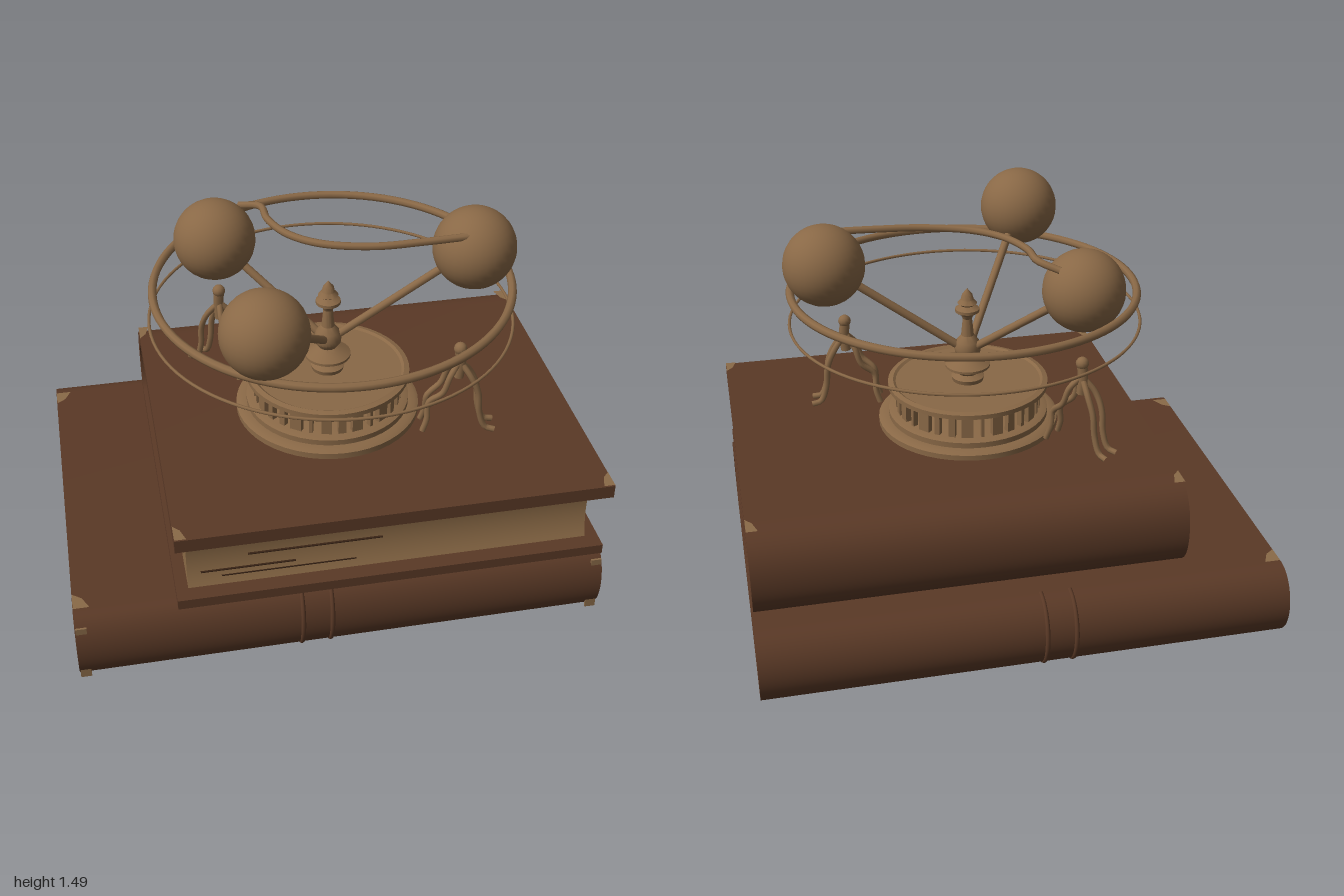
import * as THREE from 'three';
import { toCreasedNormals } from 'three/addons/utils/BufferGeometryUtils.js';

const mat = (name, color) => Object.assign(new THREE.MeshStandardMaterial({ color }), { name });
const V = (x, y, z) => new THREE.Vector3(x, y, z);

export function createModel() {
  const model = new THREE.Group();
  const leather = mat('leather', 0x5a3926);
  const paper = mat('paper', 0x8c6b47);
  const brass = mat('brass', 0x896846);
  const worn = mat('worn leather', 0x8a6a48);
  worn.side = THREE.DoubleSide;
  const dark = mat('dark brown', 0x382315);

  const add = (parent, name, geo, material, x = 0, y = 0, z = 0) => {
    const m = new THREE.Mesh(geo, material);
    m.name = name;
    m.position.set(x, y, z);
    parent.add(m);
    return m;
  };
  const group = (name) => {
    const g = new THREE.Group();
    g.name = name;
    model.add(g);
    return g;
  };
  // Extrude a side profile (drawn in -z, y) from x0 to x1
  const slab = (shape, x0, x1) => {
    const g = new THREE.ExtrudeGeometry(shape, { depth: x1 - x0, bevelEnabled: false, curveSegments: 14 });
    g.rotateY(Math.PI / 2);
    g.translate(x0, 0, 0);
    return toCreasedNormals(g, 0.6);
  };
  const tube = (pts, r, closed = false, seg = 32) =>
    new THREE.TubeGeometry(new THREE.CatmullRomCurve3(pts, closed), seg, r, 8, closed);
  const rod = (parent, name, a, b, r) => {
    const m = add(parent, name, new THREE.CylinderGeometry(r, r, a.distanceTo(b), 10), brass);
    m.position.copy(a).lerp(b, 0.5);
    m.quaternion.setFromUnitVectors(V(0, 1, 0), b.clone().sub(a).normalize());
  };
  // Closed profile with rounded ends; zf/zb front and back, rf/rb depth of the curve
  const pill = (Kind, zf, zb, y0, y1, rf, rb) => {
    const s = new Kind(), cy = (y0 + y1) / 2, h = (y1 - y0) / 2;
    s.moveTo(-zf + rf, y0);
    s.lineTo(-zb - rb, y0);
    s.absellipse(-zb - rb, cy, rb, h, -Math.PI / 2, Math.PI / 2, false);
    s.lineTo(-zf + rf, y1);
    s.absellipse(-zf + rf, cy, rf, h, Math.PI / 2, Math.PI * 1.5, false);
    return s;
  };
  // Worn triangular corner on top of a cover
  const corner = (parent, x, y, z, sx, sz) => {
    const s = new THREE.Shape([[0, 0], [0.06, 0], [0.035, 0.05], [0, 0.075]].map(
      ([a, b]) => new THREE.Vector2(a * sx, b * sz)));
    const g = new THREE.ShapeGeometry(s);
    g.rotateX(Math.PI / 2);
    add(parent, 'wornCorner', g, worn, x, y, z);
  };

  // Lower book
  const lower = group('lowerBook');
  const cover = pill(THREE.Shape, 0.785, -0.785, 0, 0.29, 0.09, 0.12);
  cover.holes.push(pill(THREE.Path, 0.735, -0.74, 0.04, 0.255, 0.06, 0.08));
  add(lower, 'lowerCover', slab(cover, -0.995, 0.99), leather);
  add(lower, 'lowerPages', slab(pill(THREE.Shape, 0.737, -0.742, 0.038, 0.257, 0.06, 0.08), -0.955, 0.955), paper);
  for (const [z, depth, s] of [[0.695, 0.09, 1], [-0.665, 0.12, -1]])
    for (const x of [-0.165, -0.055]) {
      const pts = [];
      for (let i = 0; i <= 10; i++) {
        const a = -Math.PI / 2 + (i / 10) * Math.PI;
        pts.push(V(x, 0.145 + 0.142 * Math.sin(a), z + s * depth * Math.cos(a)));
      }
      add(lower, 'spineRidge', tube(pts, 0.009), leather);
    }
  corner(lower, -0.994, 0.292, 0.69, 1, -1);
  corner(lower, -0.994, 0.292, -0.66, 1, 1);
  for (const x of [-0.972, 0.967])
    for (const y of [0.045, 0.235]) add(lower, 'wornEdge', new THREE.BoxGeometry(0.04, 0.05, 0.008), worn, x, y, 0.762);

  // Upper book: C-shaped cover open at the front
  const upper = group('upperBook');
  const c = new THREE.Shape();
  c.moveTo(-0.76, 0.288);
  c.lineTo(0.53, 0.292);
  c.bezierCurveTo(0.62, 0.3, 0.66, 0.37, 0.66, 0.46);
  c.bezierCurveTo(0.66, 0.56, 0.61, 0.64, 0.5, 0.64);
  c.lineTo(-0.785, 0.635);
  c.lineTo(-0.785, 0.582);
  c.lineTo(0.5, 0.59);
  c.bezierCurveTo(0.57, 0.58, 0.605, 0.53, 0.605, 0.46);
  c.bezierCurveTo(0.605, 0.39, 0.58, 0.34, 0.53, 0.332);
  c.lineTo(-0.76, 0.328);
  add(upper, 'upperCover', slab(c, -0.62, 0.985), leather);
  const p = new THREE.Shape();
  p.moveTo(-0.7, 0.325);
  p.lineTo(0.53, 0.328);
  p.bezierCurveTo(0.58, 0.34, 0.608, 0.39, 0.608, 0.46);
  p.bezierCurveTo(0.608, 0.53, 0.57, 0.58, 0.5, 0.592);
  p.lineTo(-0.7, 0.586);
  p.quadraticCurveTo(-0.65, 0.45, -0.7, 0.325);
  add(upper, 'upperPages', slab(p, -0.575, 0.935), paper);
  corner(upper, -0.619, 0.641, -0.58, 0.7, 1.1);
  corner(upper, 0.984, 0.641, -0.58, -0.7, 1.1);
  corner(upper, -0.619, 0.639, 0.783, 0.7, -1);
  corner(upper, 0.984, 0.639, 0.783, -0.7, -1);

  // Gaps between pages
  for (const [x, y, w] of [[-0.3, 0.5, 0.4], [-0.1, 0.44, 0.5], [-0.35, 0.385, 0.35], [-0.2, 0.36, 0.5], [0.55, 0.51, 0.3]])
    add(upper, 'pageGap', new THREE.BoxGeometry(w, 0.004, 0.009), dark, x, y, 0.677 + Math.abs(y - 0.455) * 0.1);
  for (const [z, y, w] of [[0.45, 0.22, 0.4], [0.35, 0.19, 0.6], [0.5, 0.115, 0.3], [0.25, 0.09, 0.5]])
    add(lower, 'pageGap', new THREE.BoxGeometry(0.006, 0.004, w), dark, 0.955, y, z);

  // Round base with an open ring of posts
  const CX = 0.06, CZ = 0.09;
  const base = group('base');
  base.position.set(CX, 0, CZ);
  const lathe = (name, pts, seg = 48) => add(base, name, toCreasedNormals(
    new THREE.LatheGeometry(pts.map(([r, y]) => new THREE.Vector2(r, y)), seg), 0.5), brass);
  lathe('foot', [[0.355, 0.635], [0.355, 0.66], [0.34, 0.668], [0.315, 0.67], [0.315, 0.692], [0.295, 0.7], [0, 0.7]]);
  lathe('topPlate', [[0, 0.785], [0.3, 0.785], [0.315, 0.792], [0.315, 0.81], [0.295, 0.815], [0.285, 0.808], [0, 0.808]]);
  const posts = 30;
  for (let i = 0; i < posts; i++) {
    const a = (i / posts) * Math.PI * 2;
    const w = 0.03 + 0.018 * Math.sin(i * 2.4);
    const m = add(base, 'post', new THREE.BoxGeometry(w, 0.09, 0.022), brass, 0.275 * Math.sin(a), 0.742, 0.275 * Math.cos(a));
    m.rotation.y = a;
  }

  // Turned central spindle
  lathe('spindle', [[0.06, 0.805], [0.065, 0.825], [0.04, 0.838], [0.05, 0.85], [0.088, 0.868], [0.088, 0.878],
    [0.05, 0.9], [0.035, 0.908], [0.05, 0.93], [0.052, 0.95], [0.045, 0.975], [0.025, 1.0], [0.018, 1.07],
    [0.025, 1.085], [0.047, 1.1], [0.047, 1.112], [0.025, 1.125], [0.038, 1.135], [0.025, 1.15], [0.02, 1.17], [0, 1.195]], 24);

  // Globes on slanting arms
  const orrery = group('orrery');
  const hub = V(CX, 0.93, CZ);
  for (const [x, y, z] of [[-0.26, 1.325, 0.595], [0.595, 1.312, 0.148], [-0.325, 1.263, -0.178]]) {
    const at = V(x, y, z);
    add(orrery, 'globe', new THREE.SphereGeometry(0.155, 32, 20), brass, x, y, z);
    rod(orrery, 'globeArm', hub, at, 0.016);
  }

  // Curved bar joining two globes
  add(orrery, 'curvedBar', tube([V(-0.22, 1.37, -0.23), V(-0.15, 1.39, -0.17), V(-0.14, 1.392, -0.06), V(-0.085, 1.394, 0.07),
    V(0.02, 1.397, 0.165), V(0.2, 1.401, 0.225), V(0.38, 1.406, 0.235), V(0.55, 1.41, 0.235)], 0.014, false, 48), brass);

  // Thick tilted ring and thin level ring
  const loop = [];
  for (let i = 0; i < 24; i++) {
    const a = (i / 24) * Math.PI * 2;
    loop.push(V(0.07 + 0.66 * Math.cos(a), 1.2 + 0.01 * Math.cos(a) - 0.012 * Math.sin(a), 0.105 + 0.655 * Math.sin(a)));
  }
  add(orrery, 'thickRing', tube(loop, 0.016, true, 96), brass);
  const thin = add(orrery, 'thinRing', new THREE.TorusGeometry(0.675, 0.006, 6, 96), brass, 0.065, 1.075, 0.113);
  thin.rotation.x = Math.PI / 2;

  // Spindly bracket figures, local +x pointing away from the base
  const figure = (x, z, angle, s) => {
    const g = group('bracketFigure');
    g.position.set(x, 0, z);
    g.rotation.y = angle;
    add(g, 'head', new THREE.SphereGeometry(0.025, 12, 8), brass, 0, 0.995, 0);
    add(g, 'body', tube([V(0, 0.985, 0), V(0.005, 0.93, 0), V(0, 0.87, 0)], 0.02, false, 10), brass);
    for (const k of [-1, 1]) {
      add(g, 'outerLeg', tube([V(0, 0.94, 0), V(0.045 * s, 0.88, 0.025 * k), V(0.075 * s, 0.81, 0.03 * k),
        V(0.085 * s, 0.72, 0.028 * k), V(0.11 * s, 0.655, 0.03 * k), V(0.145 * s, 0.645, 0.035 * k)], 0.012, false, 24), brass);
      add(g, 'innerLeg', tube([V(0, 0.94, 0), V(-0.035 * s, 0.89, 0.03 * k), V(-0.06 * s, 0.82, 0.035 * k),
        V(-0.11 * s, 0.77, 0.025 * k), V(-0.115 * s, 0.7, 0.035 * k), V(-0.13 * s, 0.65, 0.04 * k)], 0.012, false, 24), brass);
    }
  };
  figure(0.51, 0.33, -0.15, 1);
  figure(-0.31, -0.24, Math.PI - 0.87, 1);

  return model;
}
